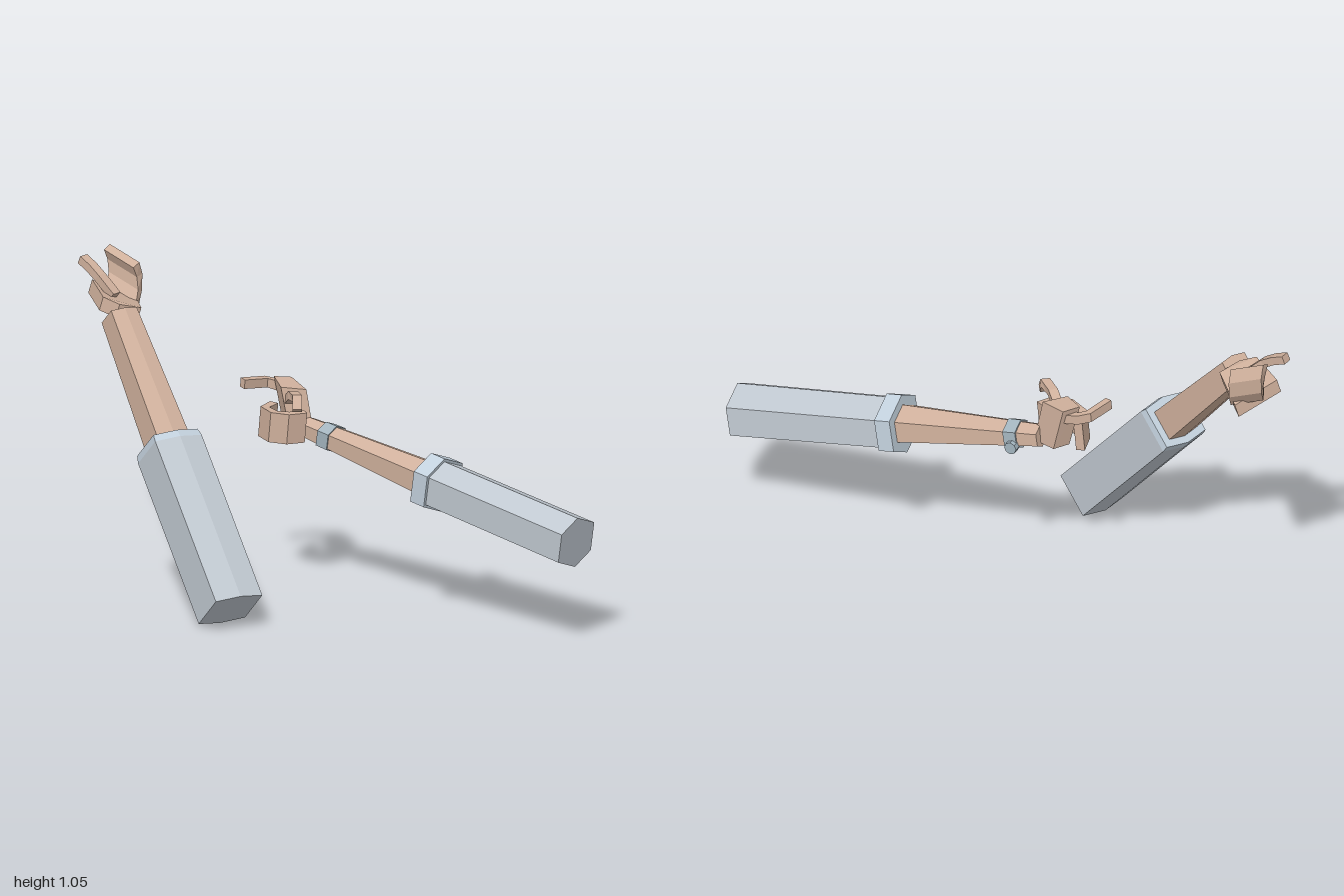
import * as THREE from 'three';

const mat = (name, color) => {
  const m = new THREE.MeshStandardMaterial({ color });
  m.name = name;
  return m;
};
const V = (p) => new THREE.Vector3(...p);

// Faceted solid through matching rings of points, closed at both ends
function loft(name, rings, material) {
  const tris = [];
  const n = rings[0].length;
  for (let r = 0; r < rings.length - 1; r++) {
    for (let i = 0; i < n; i++) {
      const j = (i + 1) % n;
      const [a, b, c, d] = [rings[r][i], rings[r][j], rings[r + 1][j], rings[r + 1][i]];
      tris.push([a, b, c], [a, c, d]);
    }
  }
  const first = rings[0], last = rings[rings.length - 1];
  for (let i = 1; i < n - 1; i++) {
    tris.push([first[0], first[i + 1], first[i]], [last[0], last[i], last[i + 1]]);
  }
  // Turn the faces outward, whichever way the rings run
  const mid = first[0].clone();
  let volume = 0;
  for (const [a, b, c] of tris) {
    const [p, q, s] = [a, b, c].map((v) => v.clone().sub(mid));
    volume += p.dot(q.cross(s));
  }
  const pts = tris.flatMap(([a, b, c]) => (volume < 0 ? [a, c, b] : [a, b, c]));
  const geo = new THREE.BufferGeometry().setFromPoints(pts);
  geo.computeVertexNormals();
  const mesh = new THREE.Mesh(geo, material);
  mesh.name = name;
  return mesh;
}

// Six-sided arm pieces along one axis; half the hexagon is given, the rest is its opposite
function armPieces(start, axisDir, sideDir, half) {
  const axis = V(axisDir).normalize();
  const side = V(sideDir).normalize();
  const up = axis.clone().cross(side).negate().normalize();
  if (up.y < 0) up.negate();
  const hex = [...half, ...half.map(([x, y]) => [-x, -y])];
  return (name, sections, material) => loft(name, sections.map(([t, s]) =>
    hex.map(([x, y]) => V(start).addScaledVector(axis, t)
      .addScaledVector(side, x * s).addScaledVector(up, y * s))), material);
}

// Rectangular digit swept along a bent path, its width along widthDir
function digit(name, path, widthDir, width, thick, material) {
  const p = path.map(V);
  const w = V(widthDir).normalize();
  const rings = p.map((c, i) => {
    const tangent = p[Math.min(i + 1, p.length - 1)].clone().sub(p[Math.max(i - 1, 0)]);
    const nrm = tangent.cross(w).normalize();
    return [[-1, -1], [1, -1], [1, 1], [-1, 1]].map(([a, b]) => c.clone()
      .addScaledVector(w, a * width / 2).addScaledVector(nrm, b * thick / 2));
  });
  return loft(name, rings, material);
}

export function createModel() {
  const sleeveMat = mat('sleeve grey', 0xc0c8d0);
  const cuffMat = mat('cuff pale blue', 0xc2d0dc);
  const skinMat = mat('skin', 0xcfb09c);
  const bandMat = mat('wristband blue grey', 0xa3b4be);

  // Raised right arm
  const rightArm = new THREE.Group();
  rightArm.name = 'rightArm';
  const right = armPieces([-0.2555, 0.067, -0.067], [0.18, 0.467, -0.4], [0.164, -0.003, 0.07],
    [[-0.089, 0.077], [0, 0.092], [0.089, 0.077]]);
  rightArm.add(
    right('rightSleeve', [[0, 1], [0.615, 1]], sleeveMat),
    right('rightCuff', [[0.615, 1], [0.641, 0.95]], cuffMat),
    right('rightForearm', [[0.6, 0.69], [1.13, 0.55]], skinMat),
  );

  // Open hand: flat palm, slim thumb, broad curled fingers
  const palmTop = [[0.05, 0.945, -0.83], [0.167, 0.955, -0.965], [0.272, 0.885, -0.86],
    [0.135, 0.905, -0.735], [0.068, 0.925, -0.775]].map(V);
  const palmDepth = V([-0.007, -0.046, -0.011]);
  rightArm.add(
    loft('rightPalm', [palmTop, palmTop.map((p) => p.clone().add(palmDepth))], skinMat),
    digit('rightThumb', [[0.128, 0.93, -0.84], [0.125, 0.985, -0.9], [0.132, 1.01, -0.94],
      [0.14, 1.03, -0.985]], [1, 0, 0.1], 0.034, 0.028, skinMat),
    digit('rightFingers', [[0.228, 0.895, -0.885], [0.257, 0.94, -0.895], [0.262, 0.99, -0.9],
      [0.244, 1.03, -0.9]], [-0.01, 0.05, -0.13], 0.125, 0.032, skinMat),
  );

  // Level left arm
  const leftArm = new THREE.Group();
  leftArm.name = 'leftArm';
  const left = armPieces([0.263, 0.365, 0.985], [0, 0.177, -0.984], [1, 0, 0],
    [[-0.092, 0.05], [-0.014, 0.092], [0.087, 0.052]]);
  leftArm.add(
    left('leftSleeve', [[0, 1], [0.58, 0.97]], sleeveMat),
    left('leftCuff', [[0.565, 1.09], [0.622, 1.09]], cuffMat),
    left('leftForearm', [[0.6, 0.73], [1.14, 0.42]], skinMat),
    left('wristband', [[1.02, 0.54], [1.066, 0.53]], bandMat),
  );
  const knob = new THREE.Mesh(
    new THREE.CylinderGeometry(0.022, 0.022, 0.028, 8).toNonIndexed(), bandMat);
  knob.geometry.computeVertexNormals();
  knob.name = 'wristbandKnob';
  knob.rotation.z = Math.PI / 2;
  knob.position.set(0.314, 0.528, -0.052);
  leftArm.add(knob);

  // Curled hand: upright palm with digits bending toward the right
  const palmSection = [[0, 0.06], [0.05, -0.04], [0.005, -0.08], [-0.055, -0.005]];
  const palmRing = (y, z, s) => palmSection.map(([a, b]) =>
    V([0.26 + a * s, y - b * 0.15, z + b * s]));
  leftArm.add(
    loft('leftPalm', [palmRing(0.55, -0.165, 0.95), palmRing(0.706, -0.2, 1)], skinMat),
    digit('leftThumb', [[0.285, 0.675, -0.235], [0.285, 0.685, -0.285], [0.268, 0.692, -0.315],
      [0.178, 0.702, -0.345]], [0, 1, 0.1], 0.032, 0.026, skinMat),
    digit('leftIndexFinger', [[0.24, 0.65, -0.2], [0.185, 0.695, -0.14], [0.15, 0.7, -0.095],
      [0.13, 0.665, -0.08]], [0.6, 0, 0.8], 0.032, 0.028, skinMat),
    digit('leftFingers', [[0.24, 0.585, -0.265], [0.17, 0.588, -0.25], [0.135, 0.59, -0.185],
      [0.145, 0.592, -0.13], [0.195, 0.592, -0.1]], [0, 1, 0.1], 0.105, 0.03, skinMat),
  );

  const model = new THREE.Group();
  model.name = 'arms';
  model.add(rightArm, leftArm);
  return model;
}
